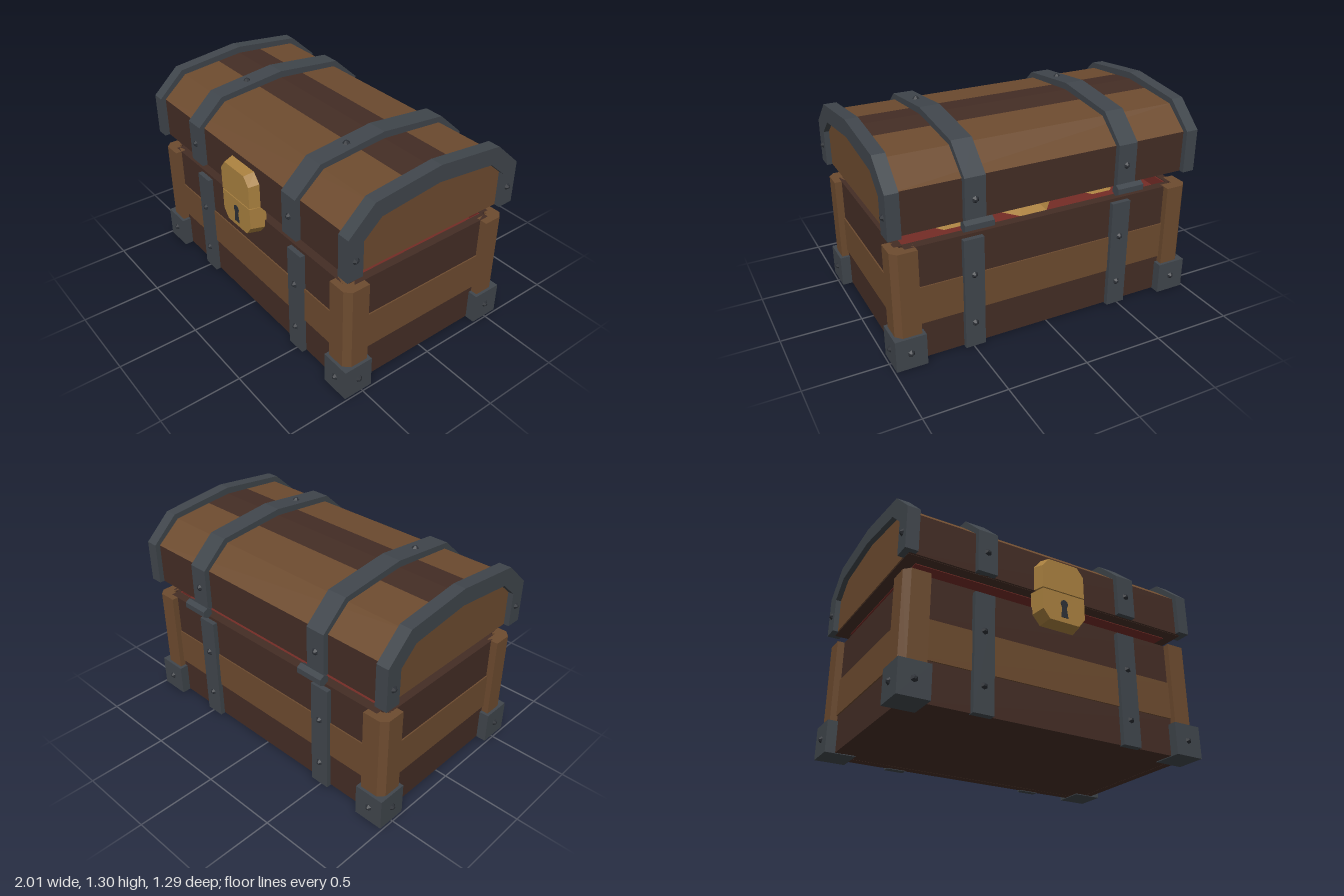
import * as THREE from 'three';

const mat = (name, color) => {
  const m = new THREE.MeshStandardMaterial({ color });
  m.name = name;
  m.flatShading = true;
  return m;
};

export function createModel() {
  const lightWood = mat('light wood', 0x6d4b2f);
  const darkWood = mat('dark wood', 0x442d25);
  const iron = mat('iron', 0x40464c);
  const darkIron = mat('dark iron', 0x2c3036);
  const gold = mat('gold', 0xa9803f);
  const red = mat('red lining', 0x742c26);

  const root = new THREE.Group();
  root.name = 'treasureChest';
  const base = new THREE.Group();
  base.name = 'base';
  const lid = new THREE.Group();
  lid.name = 'lid';
  root.add(base, lid);
  base.position.z = lid.position.z = 0.013;

  const add = (parent, name, geo, material, x = 0, y = 0, z = 0) => {
    const m = new THREE.Mesh(geo, material);
    m.name = name;
    m.position.set(x, y, z);
    parent.add(m);
    return m;
  };
  // Box given by its min and max corners
  const box = (parent, name, material, x0, x1, y0, y1, z0, z1) =>
    add(parent, name, new THREE.BoxGeometry(Math.abs(x1 - x0), y1 - y0, Math.abs(z1 - z0)), material,
      (x0 + x1) / 2, (y0 + y1) / 2, (z0 + z1) / 2);
  const shape = (pts) => new THREE.Shape(pts.map(([a, b]) => new THREE.Vector2(a, b)));
  // Extrude a (z, y) section along x between x0 and x1
  const alongX = (parent, name, material, pts, x0, x1) => {
    const g = new THREE.ExtrudeGeometry(shape(pts.map(([z, y]) => [-z, y])), { depth: x1 - x0, bevelEnabled: false });
    g.rotateY(Math.PI / 2);
    return add(parent, name, g, material, x0);
  };
  // Six-sided rivet pointing along a direction
  const rivetGeo = new THREE.CylinderGeometry(0.008, 0.023, 0.016, 6);
  const rivet = (parent, x, y, z, dx, dy, dz) => {
    const m = add(parent, 'rivet', rivetGeo, darkIron, x + dx * 0.007, y + dy * 0.007, z + dz * 0.007);
    m.quaternion.setFromUnitVectors(new THREE.Vector3(0, 1, 0), new THREE.Vector3(dx, dy, dz).normalize());
  };
  const sides = [1, -1];

  // Base: floor and three rows of planks on each side
  box(base, 'floor', darkWood, -0.92, 0.92, 0.005, 0.05, -0.54, 0.54);
  const rows = [[0.004, 0.24, darkWood, 0], [0.24, 0.475, lightWood, 0.008], [0.475, 0.73, darkWood, 0]];
  for (const [y0, y1, material, out] of rows) {
    for (const s of sides) {
      box(base, 'longPlank', material, -0.88, 0.88, y0, y1, s * 0.49, s * (0.547 + out));
      box(base, 'endPlank', material, s * 0.875, s * (0.925 + out), y0, y1, -0.5, 0.5);
    }
  }

  // Red lining and treasure
  box(base, 'cloth', red, -0.875, 0.875, 0.6, 0.66, -0.49, 0.49);
  for (const s of sides) {
    box(base, 'longLining', red, -0.875, 0.875, 0.6, 0.725, s * 0.482, s * 0.49);
    box(base, 'endLining', red, s * 0.867, s * 0.875, 0.6, 0.725, -0.49, 0.49);
  }
  const heaps = [[0, -0.19, 0.24, 0.77], [0.5, -0.2, 0.18, 0.72], [-0.52, -0.18, 0.2, 0.72],
    [0.3, 0.2, 0.18, 0.72], [-0.32, 0.2, 0.17, 0.715]];
  for (const [x, z, r, top] of heaps) {
    add(base, 'goldHeap', new THREE.ConeGeometry(r, top - 0.64, 7), gold, x, (top + 0.64) / 2, z);
  }

  // Corner posts with chamfered edge, iron feet
  for (const sx of sides) {
    for (const sz of sides) {
      const pts = [[0.82, 0.587], [0.935, 0.587], [0.97, 0.55], [0.97, 0.437], [0.9, 0.437], [0.9, 0.517], [0.82, 0.517]];
      const g = new THREE.ExtrudeGeometry(shape(pts.map(([x, z]) => [sx * x, -sz * z])), { depth: 0.63, bevelEnabled: false });
      g.rotateX(-Math.PI / 2);
      add(base, 'cornerPost', g, lightWood, 0, 0.1);
      box(base, 'cornerIron', iron, sx * 0.8, sx * 0.988, 0, 0.2, sz * 0.417, sz * 0.605);
      rivet(base, sx * 0.895, 0.1, sz * 0.605, 0, 0, sz);
      rivet(base, sx * 0.988, 0.1, sz * 0.507, sx, 0, 0);
    }
  }

  // Base straps
  for (const sx of sides) {
    for (const sz of sides) {
      box(base, 'baseStrap', iron, sx * 0.425, sx * 0.55, 0, 0.71, sz * 0.535, sz * 0.578);
      for (const y of [0.16, 0.48]) rivet(base, sx * 0.487, y, sz * 0.578, 0, 0, sz);
    }
  }

  // Lid sections as (z, y) half profiles, mirrored to full arches
  const mirror = (half) => [...half, ...half.slice(0, -1).reverse().map(([z, y]) => [-z, y])];
  const bandOuter = mirror([[0.605, 0.83], [0.605, 1.095], [0.437, 1.25], [0, 1.298]]);
  const bandInner = mirror([[0.504, 0.83], [0.504, 1.05], [0.392, 1.15], [0, 1.195]]);
  const core = mirror([[0.53, 0.832], [0.53, 1.06], [0.4, 1.17], [0, 1.21]]);
  const arch = [...bandOuter, ...bandInner.slice().reverse()];

  // Lid body and outer planks
  alongX(lid, 'lidBody', lightWood, core, -0.955, 0.955);
  box(lid, 'lidUnderside', darkWood, -0.95, 0.95, 0.828, 0.834, -0.56, 0.56);
  box(lid, 'lidLining', red, -0.875, 0.875, 0.824, 0.829, -0.49, 0.49);
  const planks = [
    ['lidFrontPlank', darkWood, [[0.572, 0.83], [0.572, 1.085], [0.53, 1.06], [0.53, 0.83]]],
    ['lidSlopePlank', lightWood, [[0.572, 1.085], [0.417, 1.217], [0.4, 1.17], [0.53, 1.06]]],
    ['lidTopPlank', lightWood, [[0.417, 1.217], [0.163, 1.241], [0.163, 1.194], [0.4, 1.17]]],
  ];
  for (const [name, material, pts] of planks) {
    for (const s of sides) alongX(lid, name, material, pts.map(([z, y]) => [s * z, y]), -0.95, 0.95);
  }
  alongX(lid, 'lidRidgePlank', darkWood,
    mirror([[0.163, 1.241], [0, 1.256]]).concat([[-0.163, 1.194], [0, 1.21], [0.163, 1.194]]), -0.95, 0.95);

  // Lid end bands, straps, rivets and hinges
  for (const sx of sides) {
    alongX(lid, 'endBand', iron, arch, sx > 0 ? 0.91 : -0.988, sx > 0 ? 0.988 : -0.91);
    alongX(lid, 'lidStrap', iron, arch, sx > 0 ? 0.425 : -0.55, sx > 0 ? 0.55 : -0.425);
    for (const sz of sides) {
      rivet(lid, sx * 0.988, 0.95, sz * 0.553, sx, 0, 0);
      rivet(lid, sx * 0.487, 0.962, sz * 0.605, 0, 0, sz);
    }
    rivet(lid, sx * 0.487, 1.275, 0.215, 0, 0.994, 0.109);
    const hinge = add(lid, 'hinge', new THREE.CylinderGeometry(0.034, 0.034, 0.175, 6), iron, sx * 0.4875, 0.828, -0.627);
    hinge.rotation.set(Math.PI / 6, 0, Math.PI / 2);
  }

  // Lock: two tapered half plates that meet at the split line
  const lockPlate = (name, dir, height, splitY, zBack) => {
    const pts = [[-0.165, 0], [0.165, 0], [0.165, height - 0.06], [0.115, height], [-0.115, height], [-0.165, height - 0.06]];
    const depth = 0.648 - zBack;
    const g = new THREE.ExtrudeGeometry(shape(pts.map(([x, y]) => [x, dir * y])), { depth, bevelEnabled: false });
    const p = g.attributes.position;
    for (let i = 0; i < p.count; i++) {
      if (p.getZ(i) > depth / 2) p.setXY(i, p.getX(i) * 0.87, p.getY(i) * 0.93);
    }
    g.computeVertexNormals();
    add(root, name, g, gold, 0, splitY, zBack);
  };
  lockPlate('lockTop', 1, 0.213, 0.832, 0.58);
  lockPlate('lockBottom', -1, 0.203, 0.825, 0.55);

  // Keyhole
  add(root, 'keyholeRound', new THREE.CylinderGeometry(0.026, 0.026, 0.006, 8), darkIron, 0, 0.756, 0.648).rotation.x = Math.PI / 2;
  const slot = shape([[-0.012, 0.755], [-0.024, 0.667], [0.024, 0.667], [0.012, 0.755]]);
  add(root, 'keyholeSlot', new THREE.ExtrudeGeometry(slot, { depth: 0.006, bevelEnabled: false }), darkIron, 0, 0, 0.645);

  return root;
}
